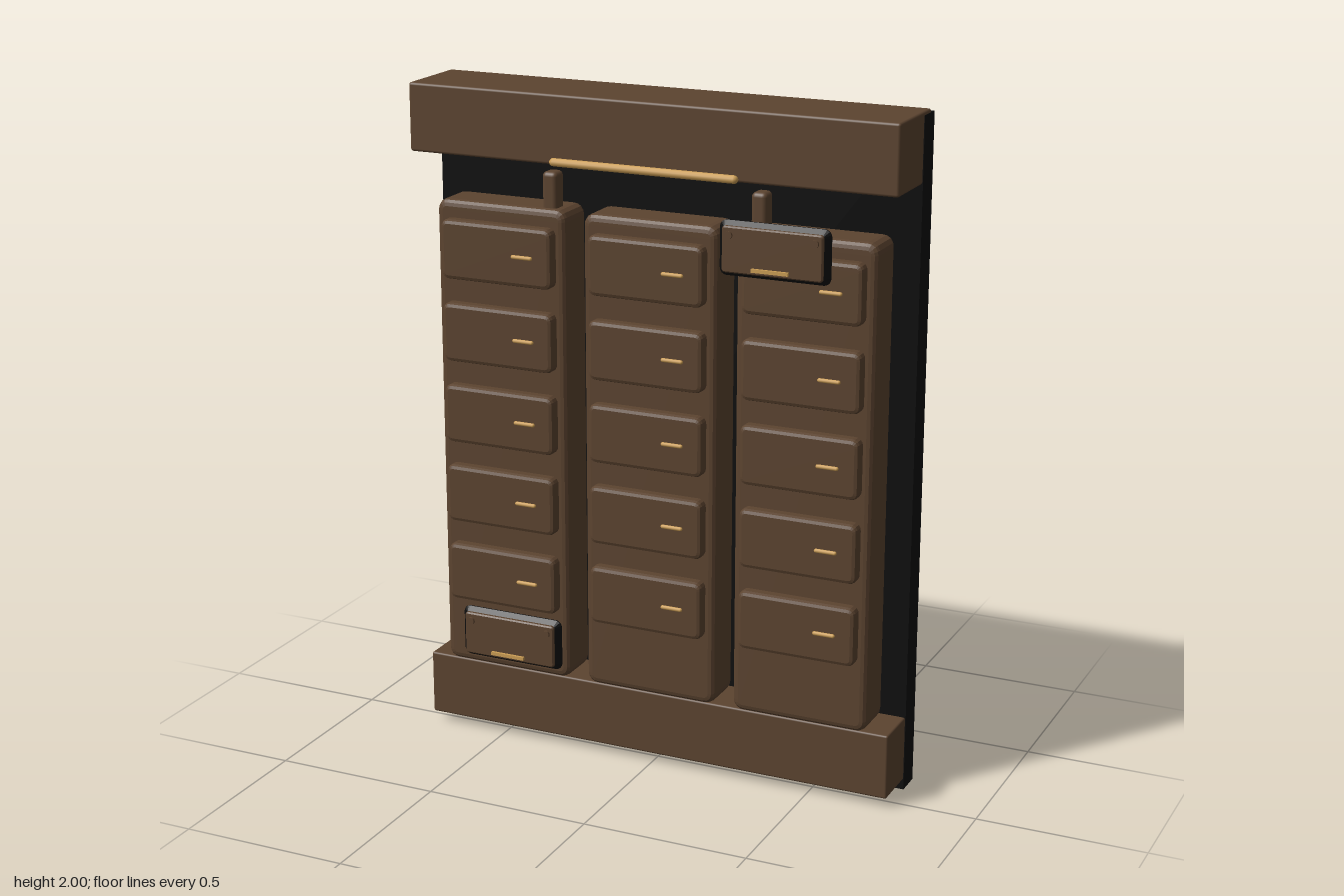
import * as THREE from 'three';
import { RoundedBoxGeometry } from 'three/addons/geometries/RoundedBoxGeometry.js';

const material = (name, color) => {
  const m = new THREE.MeshStandardMaterial({ color });
  m.name = name;
  return m;
};

export function createModel() {
  const brown = material('brown wood', 0x5c4430);
  const black = material('black backing', 0x0d0d0d);
  const gold = material('brass', 0xcc9e55);

  const model = new THREE.Group();
  model.name = 'drawerWall';

  const add = (name, geometry, mat, x, y, z, parent = model) => {
    const mesh = new THREE.Mesh(geometry, mat);
    mesh.name = name;
    mesh.position.set(x, y, z);
    parent.add(mesh);
    return mesh;
  };

  // Slab with rounded corners and bevelled rims, centred on its origin
  const slab = (w, h, d, corner, bevel, segments = 2) => {
    const a = w / 2 - bevel, b = h / 2 - bevel, r = corner;
    const s = new THREE.Shape();
    s.moveTo(-a + r, -b);
    s.lineTo(a - r, -b);
    s.quadraticCurveTo(a, -b, a, -b + r);
    s.lineTo(a, b - r);
    s.quadraticCurveTo(a, b, a - r, b);
    s.lineTo(-a + r, b);
    s.quadraticCurveTo(-a, b, -a, b - r);
    s.lineTo(-a, -b + r);
    s.quadraticCurveTo(-a, -b, -a + r, -b);
    const g = new THREE.ExtrudeGeometry(s, {
      depth: d - 2 * bevel, bevelEnabled: true, bevelSize: bevel,
      bevelThickness: bevel, bevelSegments: segments, curveSegments: 4,
    });
    return g.translate(0, 0, -d / 2 + bevel);
  };

  // Rod lying along x
  const rod = (length, radius) =>
    new THREE.CapsuleGeometry(radius, length - 2 * radius, 4, 10).rotateZ(Math.PI / 2);

  // Backing board, header and plinth
  add('backPanel', new THREE.BoxGeometry(1.494, 1.99, 0.078), black, 0, 0.995, -0.134);
  add('header', new RoundedBoxGeometry(1.49, 0.2, 0.247, 2, 0.008), brown, 0, 1.9, -0.032);
  add('plinth', new RoundedBoxGeometry(1.49, 0.197, 0.16, 2, 0.006), brown, 0, 0.129, -0.03);
  add('headerRail', rod(0.575, 0.012), gold, -0.002, 1.81, 0.1);

  // Three columns of five drawers
  const columnGeo = slab(0.416, 1.436, 0.14, 0.015, 0.02, 3);
  const drawerGeo = slab(0.358, 0.177, 0.06, 0.012, 0.012);
  const handleGeo = rod(0.068, 0.006);
  for (let c = 0; c < 3; c++) {
    const x = (c - 1) * 0.473 - 0.003;
    const column = new THREE.Group();
    column.name = 'column' + (c + 1);
    column.position.x = x;
    model.add(column);
    add('columnBody', columnGeo, brown, 0, 0.942, -0.015, column);
    for (let r = 0; r < 5; r++) {
      const y = 1.52 - r * 0.249;
      add('drawer', drawerGeo, brown, 0, y, 0.06, column);
      add('drawerHandle', handleGeo, gold, 0.09, y + 0.002, 0.096, column);
    }
  }

  // Posts on the outer columns
  const postGeo = new RoundedBoxGeometry(0.047, 0.2, 0.054, 3, 0.014);
  for (const x of [-0.328, 0.318]) add('post', postGeo, brown, x, 1.664, 0.006);

  // Floating label plates in front of the drawers
  const frameGeo = slab(0.326, 0.155, 0.036, 0.006, 0.016, 1);
  const faceGeo = slab(0.296, 0.13, 0.016, 0.006, 0.004, 1);
  const screwGeo = new THREE.CylinderGeometry(0.011, 0.011, 0.008, 12).rotateX(Math.PI / 2);
  const stripGeo = new THREE.BoxGeometry(0.108, 0.01, 0.008);
  for (const [x, y] of [[-0.415, 0.365], [0.412, 1.629]]) {
    const plate = new THREE.Group();
    plate.name = 'labelPlate';
    plate.position.set(x, y, 0);
    model.add(plate);
    add('plateFrame', frameGeo, black, 0, 0, 0.134, plate);
    add('plateFace', faceGeo, brown, 0, 0, 0.153, plate);
    for (const side of [-1, 1]) add('plateScrew', screwGeo, brown, side * 0.126, 0.041, 0.164, plate);
    add('plateStrip', stripGeo, gold, -0.003, -0.05, 0.165, plate);
  }

  return model;
}
